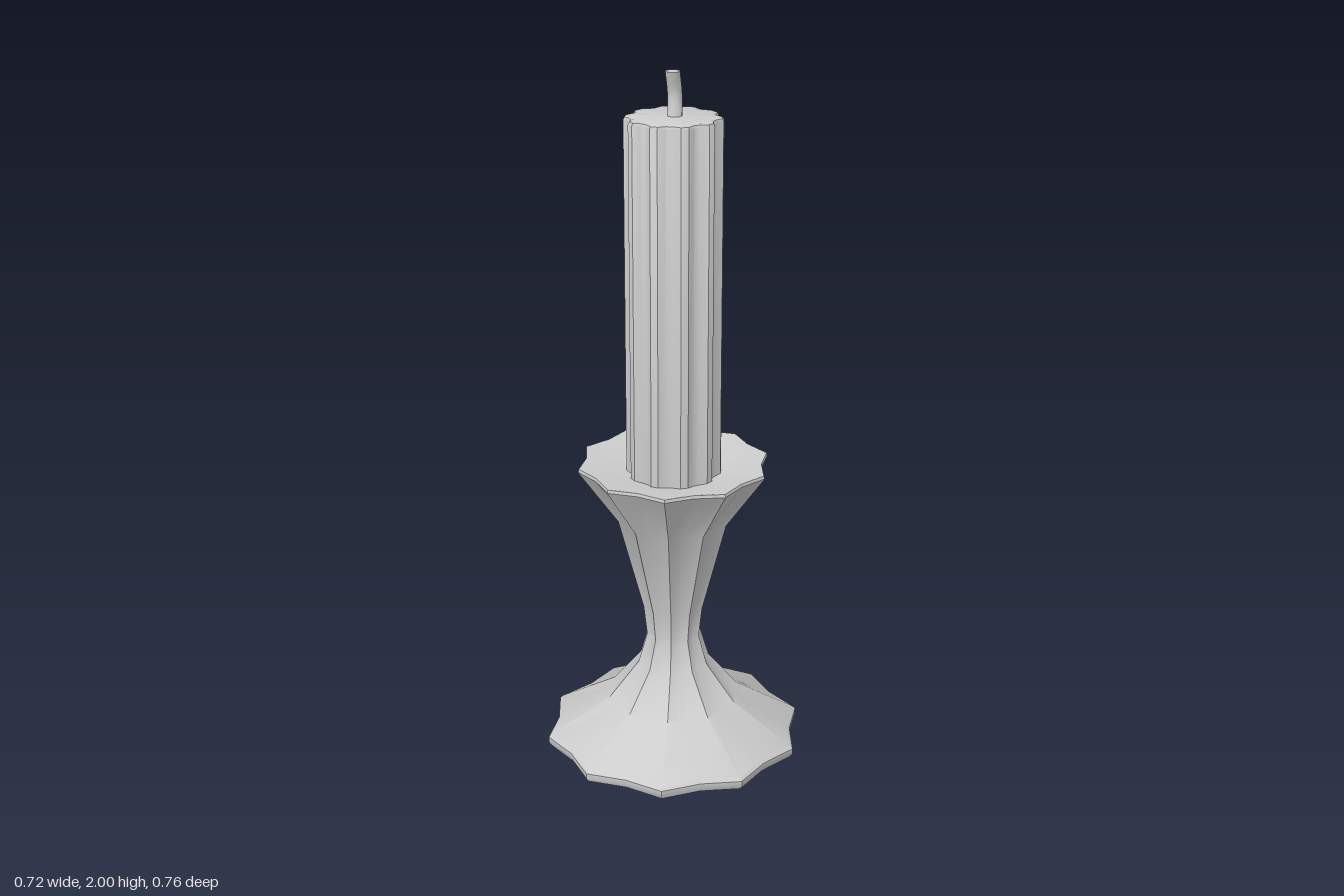
import * as THREE from 'three';
import { toCreasedNormals } from 'three/addons/utils/BufferGeometryUtils.js';

const grey = new THREE.MeshStandardMaterial({ color: 0xcccccc });
grey.name = 'plain grey';

// Skin a stack of rings, bottom to top on the outside.
// Each ring: { y, r (scale), x, z, shape(i) }; r = 0 closes the skin to a point.
function loft(name, rings, sides, turn, crease) {
  const pos = [], index = [];
  for (const { y, r, x = 0, z = 0, shape = () => 1 } of rings) {
    for (let i = 0; i < sides; i++) {
      const a = ((i + turn) / sides) * Math.PI * 2;
      const d = r * shape(i);
      pos.push(x + d * Math.sin(a), y, z + d * Math.cos(a));
    }
  }
  for (let j = 0; j < rings.length - 1; j++) {
    for (let i = 0; i < sides; i++) {
      const n = (i + 1) % sides;
      const a = j * sides + i, b = j * sides + n, c = b + sides, d = a + sides;
      if (rings[j].r > 0) index.push(a, b, rings[j + 1].r > 0 ? c : d);
      if (rings[j + 1].r > 0) index.push(a, c, d);
    }
  }
  const geometry = new THREE.BufferGeometry();
  geometry.setAttribute('position', new THREE.Float32BufferAttribute(pos, 3));
  geometry.setIndex(index);
  const mesh = new THREE.Mesh(toCreasedNormals(geometry, crease), grey);
  mesh.name = name;
  return mesh;
}

export function createModel() {
  const group = new THREE.Group();
  group.name = 'candlestick';

  // Holder: ten-pointed star section; [tip radius, height, valley / tip ratio]
  const profile = [
    [0, 0, 1], [0.375, 0, 0.915], [0.381, 0.01, 0.915], [0.381, 0.027, 0.915], [0.372, 0.036, 0.915],
    [0.195, 0.14, 0.91], [0.106, 0.25, 0.9], [0.08, 0.34, 0.87], [0.09, 0.43, 0.86],
    [0.163, 0.71, 0.87], [0.273, 0.868, 0.91], [0.277, 0.875, 0.91], [0.275, 0.884, 0.91],
    [0.269, 0.884, 0.915], [0.13, 0.853, 0.95], [0, 0.84, 1],
  ];
  group.add(loft('holder', profile.map(([r, y, ratio]) => ({
    r, y, shape: (i) => (i % 2 ? ratio : 1),
  })), 20, 0, 0.6));

  // Candle: ten soft flutes, small bevel at the top
  const flute = (i) => (i % 4 === 0 || i % 4 === 3 ? 0.9 : 1);
  const candle = [[0, 0.843], [0.135, 0.843], [0.135, 1.87], [0.131, 1.877], [0.122, 1.88], [0, 1.88]];
  group.add(loft('candle', candle.map(([r, y]) => ({ r, y, shape: flute })), 40, 0.5, 0.6));

  // Wick: bent backwards in the middle, cut flat on top
  const path = new THREE.CatmullRomCurve3([
    new THREE.Vector3(0.002, 1.87, -0.002),
    new THREE.Vector3(-0.006, 1.935, -0.012),
    new THREE.Vector3(0, 2, 0.004),
  ]);
  const wick = path.getPoints(8).map(({ x, y, z }) => ({ x, y, z, r: 0.02 }));
  wick.push({ ...wick[wick.length - 1], r: 0 });
  group.add(loft('wick', wick, 16, 0, 0.6));

  return group;
}
